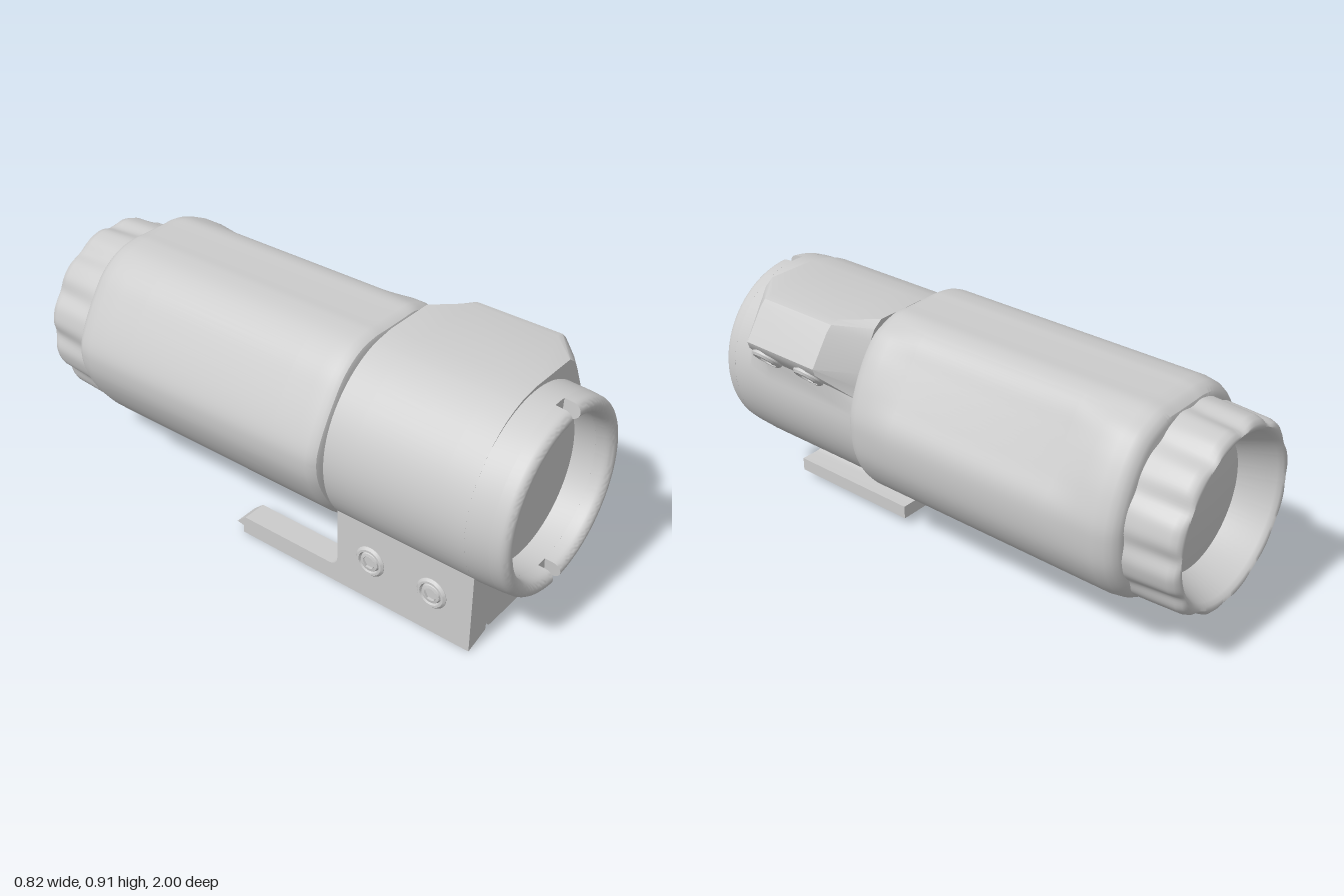
import * as THREE from 'three';
import { toCreasedNormals } from 'three/addons/utils/BufferGeometryUtils.js';

const AX = -0.02, AY = 0.53; // optical axis
const grey = new THREE.MeshStandardMaterial({ color: 0xcccccc });
const greyDouble = new THREE.MeshStandardMaterial({ color: 0xcccccc, side: THREE.DoubleSide });

function part(name, geometry, material = grey) {
  const mesh = new THREE.Mesh(geometry, material);
  mesh.name = name;
  return mesh;
}

// Skin a list of equal-length rings [x, y, z], counter-clockwise, z rising
function loft(rings, capped = true, crease = 0.5) {
  const n = rings[0].length, pos = rings.flat(2), idx = [];
  for (let i = 0; i < rings.length - 1; i++) {
    for (let j = 0; j < n; j++) {
      const a = i * n + j, b = i * n + (j + 1) % n, c = b + n, d = a + n;
      idx.push(a, b, c, a, c, d);
    }
  }
  if (capped) {
    const last = (rings.length - 1) * n, centre = rings.length * n;
    pos.push(AX, AY, rings[0][0][2], AX, AY, rings.at(-1)[0][2]);
    for (let j = 0; j < n; j++) {
      const k = (j + 1) % n;
      idx.push(centre, k, j, centre + 1, last + j, last + k);
    }
  }
  const g = new THREE.BufferGeometry();
  g.setAttribute('position', new THREE.Float32BufferAttribute(pos, 3));
  g.setIndex(idx);
  return toCreasedNormals(g, crease);
}

// Turn a profile of [radius, z] about the optical axis; angle 0 points down
function turned(profile, start = 0, length = Math.PI * 2) {
  const g = new THREE.LatheGeometry(profile.map(p => new THREE.Vector2(...p)), 96, start, length);
  g.rotateX(Math.PI / 2).translate(AX, AY, 0);
  return toCreasedNormals(g, 0.6);
}

const mix = (a, b, t) => a.map((v, i) => v + (b[i] - v) * t);

// Main housing: oval with a flat top and a flat facet on one shoulder
function housing() {
  const facet = [[0.362, 0.6], [0.32, 0.67], [0.2835, 0.73], [0.245, 0.794], [0.205, 0.86]];
  const facetEnd = [[0.368, 0.6], [0.342, 0.685], [0.312, 0.75], [0.275, 0.81], [0.228, 0.862]];
  const rest = [[0.17, 0.89], [0.12, 0.905], [0.05, 0.905], [-0.04, 0.905], [-0.1, 0.905],
    [-0.18, 0.888], [-0.26, 0.835], [-0.325, 0.75], [-0.385, 0.645], [-0.407, 0.585],
    [-0.41, 0.54], [-0.4, 0.48], [-0.365, 0.4], [-0.31, 0.32], [-0.23, 0.245], [-0.13, 0.2],
    [-0.02, 0.188], [0.09, 0.197], [0.19, 0.233], [0.27, 0.29], [0.325, 0.36], [0.36, 0.44], [0.372, 0.54]];
  // z, scale, how far the facet is filled out
  const stations = [[-0.81, 0.87, 1], [-0.805, 0.915, 1], [-0.79, 0.955, 1], [-0.77, 0.983, 1],
    [-0.73, 1, 1], [-0.66, 1, 1], [-0.54, 1, 0], [0.12, 1, 0], [0.22, 1, 1], [0.27, 1, 1],
    [0.29, 0.99, 1], [0.305, 0.965, 1], [0.31, 0.93, 1]];
  return loft(stations.map(([z, s, t]) => {
    const pts = [...facet.map((p, i) => mix(p, facetEnd[i], t)), ...rest]
      .map(([x, y]) => new THREE.Vector3(AX + (x - AX) * s, 0.545 + (y - 0.545) * s, z));
    return new THREE.CatmullRomCurve3(pts, true).getPoints(140).slice(0, -1).map(p => p.toArray());
  }));
}

// Clamp ring whose lug tapers away at both ends
function clamp() {
  const lug = [[0.325, 0.59], [0.335, 0.655], [0.402, 0.724], [0.41, 0.75], [0.335, 0.86],
    [0.312, 0.882], [0.28, 0.89], [-0.02, 0.89]];
  const low = [[0.323, 0.59], [0.313, 0.63], [0.3, 0.67], [0.285, 0.72], [0.235, 0.83],
    [0.215, 0.865], [0.18, 0.89], [-0.02, 0.89]];
  return loft([[0.31, 1], [0.42, 0], [0.75, 0], [0.855, 1]].map(([z, t]) => {
    const ring = lug.map((p, i) => [...mix(p, low[i], t), z]);
    for (let k = 0; k <= 66; k++) {
      const a = THREE.MathUtils.degToRad(102 + k * 4);
      const r = 0.348 + 0.008 * Math.max(0, 1 - k / 8);
      ring.push([AX + r * Math.cos(a), AY + r * Math.sin(a), z]);
    }
    return ring;
  }));
}

// Eyepiece grip with scalloped sides
function grip() {
  const N = 192;
  // radius, z, scallop depth: inner cone, rounded lip, outer wall
  const rows = [[0.345, -0.78, 0.006], [0.342, -0.86, 0.011], [0.337, -0.965, 0.014],
    [0.33, -0.987, 0.012], [0.317, -0.998, 0.006], [0.307, -1, 0], [0.296, -0.995, 0],
    [0.287, -0.98, 0], [0.24, -0.86, 0]].reverse();
  return loft(rows.map(([r, z, d]) => Array.from({ length: N }, (_, j) => {
    const a = j / N * Math.PI * 2;
    const q = r - d * (0.5 + 0.5 * Math.cos(12 * a)) ** 2 * 1.4;
    return [AX + q * Math.cos(a), AY + q * Math.sin(a), z];
  })), false, 0.8);
}

// Objective rim: two half rings separated by slots at top and bottom
function slottedRim() {
  const group = new THREE.Group();
  group.name = 'slottedRim';
  const profile = [[0.283, 0.94], [0.344, 0.94]];
  for (let i = 0; i <= 12; i++) {
    const a = i / 12 * Math.PI;
    profile.push([0.3125 + 0.0285 * Math.cos(a), 0.968 + 0.032 * Math.sin(a)]);
  }
  profile.push([0.283, 0.94]);
  const section = new THREE.ShapeGeometry(new THREE.Shape(profile.map(p => new THREE.Vector2(...p))));
  const gap = 0.074;
  for (const start of [gap, Math.PI + gap]) {
    const length = Math.PI - 2 * gap;
    group.add(part('rimHalf', turned(profile, start, length)));
    for (const angle of [start, start + length]) {
      const end = section.clone().rotateY(angle - Math.PI / 2).rotateX(Math.PI / 2).translate(AX, AY, 0);
      group.add(part('slotWall', end, greyDouble));
    }
  }
  return group;
}

// Mount foot hanging below the clamp
function foot() {
  const s = new THREE.Shape();
  s.moveTo(-0.29, 0.33);
  for (const p of [[-0.29, 0], [-0.195, 0.028], [-0.192, 0.062], [-0.182, 0.042]]) s.lineTo(...p);
  s.quadraticCurveTo(-0.175, 0.033, -0.16, 0.033);
  for (const p of [[0.1, 0.033], [0.1, 0.085], [0.03, 0.085]]) s.lineTo(...p);
  s.bezierCurveTo(-0.02, 0.085, -0.045, 0.13, -0.047, 0.15);
  s.quadraticCurveTo(-0.045, 0.172, -0.02, 0.175);
  for (const p of [[0.06, 0.187], [0, 0.25], [-0.2, 0.35]]) s.lineTo(...p);
  const g = new THREE.ExtrudeGeometry(s, { depth: 0.545, bevelEnabled: false });
  return toCreasedNormals(g.translate(0, 0, 0.31), 0.5);
}

// Rail reaching back from the foot, with a sloping underside
function rail() {
  const s = new THREE.Shape();
  s.moveTo(0.33, 0);
  for (const p of [[-0.12, 0], [-0.12, 0.03], [-0.15, 0.035], [-0.11, 0.07], [0.27, 0.07]]) s.lineTo(...p);
  s.quadraticCurveTo(0.31, 0.07, 0.31, 0.11);
  s.lineTo(0.33, 0.11);
  const g = new THREE.ExtrudeGeometry(s, { depth: 0.095, bevelEnabled: false });
  g.rotateY(-Math.PI / 2).translate(-0.195, 0, 0);
  const p = g.attributes.position;
  for (let i = 0; i < p.count; i++) {
    if (p.getY(i) < 0.01) p.setY(i, (p.getX(i) + 0.29) * 0.29);
  }
  return toCreasedNormals(g, 0.5);
}

// Socket-head screw facing along dir
function screw(name, position, dir) {
  const group = new THREE.Group();
  group.name = name;
  const head = [[0.058, -0.03], [0.058, 0.004], [0.05, 0.012], [0.042, 0.012], [0.038, 0.002],
    [0.034, 0.01], [0.024, 0.012]].map(p => new THREE.Vector2(...p));
  group.add(part('screwHead', toCreasedNormals(new THREE.LatheGeometry(head, 32), 0.5)));
  const socket = new THREE.CylinderGeometry(0.026, 0.026, 0.02, 6, 1, true).translate(0, 0.001, 0);
  group.add(part('hexSocket', toCreasedNormals(socket, 0.3), greyDouble));
  group.add(part('socketFloor', new THREE.CircleGeometry(0.034, 24).rotateX(-Math.PI / 2).translate(0, 0.001, 0)));
  group.position.set(...position);
  group.quaternion.setFromUnitVectors(new THREE.Vector3(0, 1, 0), new THREE.Vector3(...dir).normalize());
  return group;
}

export function createModel() {
  const model = new THREE.Group();
  model.name = 'magnifierScope';
  model.add(part('housing', housing()), part('clamp', clamp()), part('eyepieceGrip', grip()));

  // Objective barrel with its recessed lens
  model.add(part('objectiveBarrel', turned([[0.348, 0.85], [0.344, 0.94], [0.283, 0.94], [0.283, 0.858]])));
  model.add(slottedRim());
  model.add(part('objectiveLens', turned([[0.29, 0.86], [0.15, 0.86], [0, 0.86]])));

  // Slightly domed eyepiece lens, listed from the centre outwards
  const dome = Array.from({ length: 9 }, (_, i) => [0.242 * i / 8, -0.86 - 0.02 * (1 - (i / 8) ** 2)]);
  model.add(part('eyepieceLens', turned(dome)));

  // Mount and fasteners
  model.add(part('mountFoot', foot()), part('mountRail', rail()));
  for (const z of [0.49, 0.7]) model.add(screw('clampScrew', [0.368, 0.685, z], [0.72, -0.7, 0]));
  for (const z of [0.45, 0.7]) model.add(screw('mountScrew', [-0.288, 0.165, z], [-1, 0, 0]));
  return model;
}
